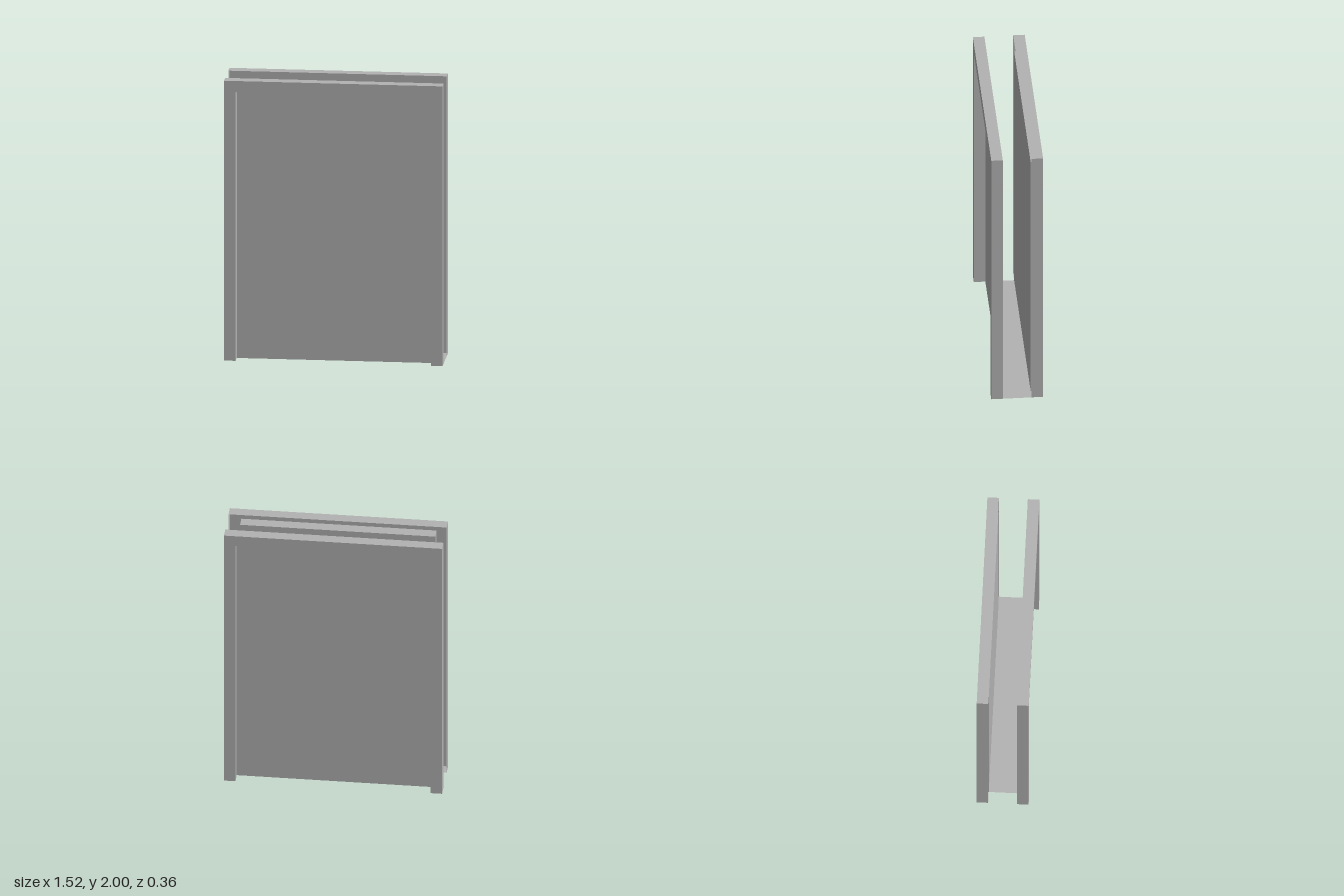
import * as THREE from 'three';

// Half widths, heights and depths of the folded-sheet door frame
const OUT_X = 0.76, IN_X = 0.68, OUT_Y = 2, IN_Y = 1.92, OUT_Z = 0.18, IN_Z = 0.10;

const grey = new THREE.MeshStandardMaterial({ color: 0xb2b2b2, side: THREE.DoubleSide });
grey.name = 'grey';

function sheet(name, geometry) {
  const mesh = new THREE.Mesh(geometry, grey);
  mesh.name = name;
  return mesh;
}

// Upright sheet facing +x or -x
function sideSheet(name, x, height, z0, z1, facing) {
  const g = new THREE.PlaneGeometry(z1 - z0, height);
  g.rotateY(facing * Math.PI / 2);
  g.translate(x, height / 2, (z0 + z1) / 2);
  return sheet(name, g);
}

// Level sheet facing up (1) or down (-1)
function levelSheet(name, x0, x1, y, z0, z1, facing) {
  const g = new THREE.PlaneGeometry(x1 - x0, z1 - z0);
  g.rotateX(-facing * Math.PI / 2);
  g.translate((x0 + x1) / 2, y, (z0 + z1) / 2);
  return sheet(name, g);
}

// One casing with its recessed panel; hollow towards the middle of the wall
function createSide(name) {
  const side = new THREE.Group();
  side.name = name;

  // Three-sided face of the casing
  const face = new THREE.Shape([
    [-OUT_X, 0], [-IN_X, 0], [-IN_X, IN_Y], [IN_X, IN_Y],
    [IN_X, 0], [OUT_X, 0], [OUT_X, OUT_Y], [-OUT_X, OUT_Y],
  ].map(([x, y]) => new THREE.Vector2(x, y)));
  side.add(sheet('casingFace', new THREE.ShapeGeometry(face).translate(0, 0, OUT_Z)));

  // Outer edges, inner reveals and feet of both jambs
  for (const s of [-1, 1]) {
    side.add(
      sideSheet('jambEdge', s * OUT_X, OUT_Y, IN_Z, OUT_Z, s),
      sideSheet('jambReveal', s * IN_X, IN_Y, IN_Z, OUT_Z, -s),
      levelSheet('jambFoot', Math.min(s * IN_X, s * OUT_X), Math.max(s * IN_X, s * OUT_X), 0, IN_Z, OUT_Z, -1),
    );
  }
  side.add(
    levelSheet('headEdge', -OUT_X, OUT_X, OUT_Y, IN_Z, OUT_Z, 1),
    levelSheet('headReveal', -IN_X, IN_X, IN_Y, IN_Z, OUT_Z, -1),
    sheet('panel', new THREE.PlaneGeometry(2 * IN_X, IN_Y).translate(0, IN_Y / 2, IN_Z)),
  );
  return side;
}

export function createModel() {
  const model = new THREE.Group();
  model.name = 'doorFrame';
  const front = createSide('frontCasing');
  const back = createSide('backCasing');
  back.rotation.y = Math.PI;
  // Threshold joining the two casings, longer at the +x end
  model.add(front, back, levelSheet('threshold', -IN_X, OUT_X, 0, -IN_Z, IN_Z, -1));
  return model;
}
